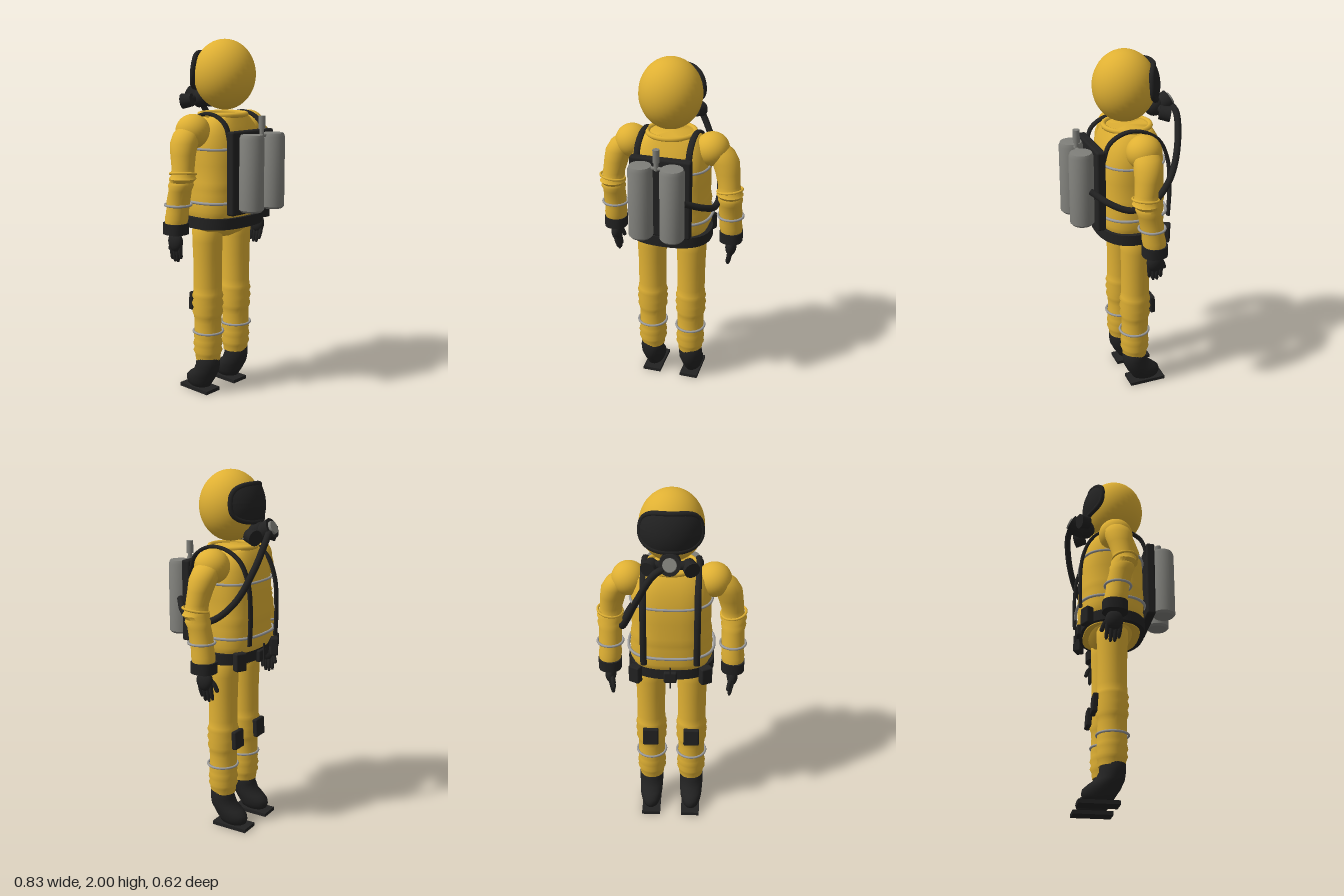
import * as THREE from 'three';
import { toCreasedNormals } from 'three/addons/utils/BufferGeometryUtils.js';
import { RoundedBoxGeometry } from 'three/addons/geometries/RoundedBoxGeometry.js';

const mat = (name, color) => Object.assign(new THREE.MeshStandardMaterial({ color }), { name });
const V = (x, y, z) => new THREE.Vector3(x, y, z);

// Closed body from horizontal sections [y, x, z, rx, rz], listed bottom to top
function loft(sections, power = 2, n = 28) {
  const pos = [], idx = [];
  const bend = (c) => Math.sign(c) * Math.abs(c) ** (2 / power);
  for (const [y, x, z, rx, rz = rx] of sections) {
    for (let i = 0; i < n; i++) {
      const t = (i / n) * Math.PI * 2;
      pos.push(x + rx * bend(Math.cos(t)), y, z + rz * bend(Math.sin(t)));
    }
  }
  const last = sections.length - 1;
  for (let j = 0; j < last; j++) {
    for (let i = 0; i < n; i++) {
      const k = (i + 1) % n, a = j * n + i, b = j * n + k;
      idx.push(a, a + n, b, b, a + n, b + n);
    }
  }
  const end = pos.length / 3;
  for (const s of [sections[0], sections[last]]) pos.push(s[1], s[0], s[2]);
  for (let i = 0; i < n; i++) {
    const k = (i + 1) % n;
    idx.push(end, i, k, end + 1, last * n + k, last * n + i);
  }
  const g = new THREE.BufferGeometry();
  g.setAttribute('position', new THREE.Float32BufferAttribute(pos, 3));
  g.setIndex(idx);
  return toCreasedNormals(g, 0.9);
}

// Tube through a list of points
const tube = (pts, r, sides = 10, closed = false, steps = 48) =>
  new THREE.TubeGeometry(new THREE.CatmullRomCurve3(pts, closed), steps, r, sides, closed);

// Horizontal band following a rounded outline
function band(y, x, z, rx, rz, r, power = 2) {
  const pts = [];
  for (let i = 0; i < 32; i++) {
    const t = (i / 32) * Math.PI * 2, c = Math.cos(t), s = Math.sin(t);
    pts.push(V(x + rx * Math.sign(c) * Math.abs(c) ** (2 / power), y, z + rz * Math.sign(s) * Math.abs(s) ** (2 / power)));
  }
  return tube(pts, r, 8, true, 64);
}

// Point of the visor outline, wrapped around the helmet
function visorPoint(r, t, scale) {
  const c = Math.cos(t), s = Math.sin(t);
  const az = 1.03 * r * Math.sign(c) * Math.abs(c) ** 0.7;
  const el = 0.12 + 0.5 * r * Math.sign(s) * Math.abs(s) ** 0.7;
  return V(0.17 * scale * Math.cos(el) * Math.sin(az), 1.81 + 0.19 * scale * Math.sin(el),
    -0.03 - 0.17 * scale * Math.cos(el) * Math.cos(az));
}

function visorGeometry() {
  const g = new THREE.PlaneGeometry(1, 1, 48, 8), p = g.attributes.position;
  for (let i = 0; i < p.count; i++) {
    const v = visorPoint(p.getY(i) + 0.5, (p.getX(i) + 0.5) * Math.PI * 2, 1.11);
    p.setXYZ(i, v.x, v.y, v.z);
  }
  g.computeVertexNormals();
  return g;
}

export function createModel() {
  const model = new THREE.Group();
  const yellow = mat('suit yellow', 0xdfb033);
  const black = mat('rubber black', 0x222222);
  black.side = THREE.DoubleSide;
  const grey = mat('tank grey', 0x7f7f7a);
  const silver = mat('band silver', 0x9c9c9c);

  const add = (name, geo, m, p = [0, 0, 0], r = [0, 0, 0], parent = model) => {
    const mesh = new THREE.Mesh(geo, m);
    mesh.name = name;
    mesh.position.set(...p);
    mesh.rotation.set(...r);
    parent.add(mesh);
    return mesh;
  };
  const ball = (name, m, p, s) => add(name, new THREE.SphereGeometry(1, 32, 24), m, p).scale.set(...s);

  // Hood, visor and collar
  ball('hood', yellow, [0, 1.81, -0.03], [0.17, 0.19, 0.17]);
  add('visor', visorGeometry(), black);
  const rim = [];
  for (let i = 0; i < 40; i++) rim.push(visorPoint(1, (i / 40) * Math.PI * 2, 1.07));
  add('visorRim', tube(rim, 0.014, 8, true, 80), black);
  add('collar', band(1.595, 0, -0.045, 0.13, 0.125, 0.014), yellow);

  // Torso with folds above the belt
  add('torso', loft([
    [0.98, 0, -0.045, 0.205, 0.155], [1.05, 0, -0.05, 0.21, 0.17], [1.08, 0, -0.05, 0.225, 0.183],
    [1.11, 0, -0.05, 0.216, 0.175], [1.14, 0, -0.05, 0.224, 0.183], [1.17, 0, -0.05, 0.216, 0.176],
    [1.2, 0, -0.05, 0.222, 0.183], [1.24, 0, -0.05, 0.214, 0.18], [1.33, 0, -0.05, 0.214, 0.18],
    [1.42, 0, -0.05, 0.215, 0.175], [1.49, 0, -0.05, 0.205, 0.16], [1.54, 0, -0.05, 0.185, 0.145],
    [1.575, 0, -0.048, 0.155, 0.128], [1.595, 0, -0.045, 0.125, 0.118],
  ], 2.7, 40), yellow);
  add('pelvis', loft([[0.915, 0, -0.05, 0.04, 0.05], [0.935, 0, -0.05, 0.13, 0.085],
    [0.965, 0, -0.05, 0.195, 0.11], [1.0, 0, -0.05, 0.205, 0.13]], 2.3), yellow);
  add('chestBand', band(1.42, 0, -0.05, 0.219, 0.179, 0.007, 2.7), silver);
  add('waistBand', band(1.13, 0, -0.05, 0.234, 0.193, 0.008, 2.7), silver);

  // Belt
  add('belt', loft([[0.985, 0, -0.04, 0.236, 0.18], [1.045, 0, -0.04, 0.236, 0.18]], 2.4, 40), black);
  add('buckle', new RoundedBoxGeometry(0.07, 0.065, 0.03, 2, 0.008), black, [0, 1.005, -0.225]);
  add('bucklePin', new THREE.BoxGeometry(0.008, 0.13, 0.008), black, [0, 1.01, -0.244]);

  // Breathing mask and hose
  add('maskCup', new THREE.CylinderGeometry(0.055, 0.048, 0.09, 20), black, [0, 1.685, -0.245], [-1.1, 0, 0]);
  add('maskCap', new THREE.CylinderGeometry(0.034, 0.038, 0.02, 20), grey, [0, 1.707, -0.288], [-1.1, 0, 0]);
  add('maskSeal', new THREE.SphereGeometry(0.055, 20, 14), black, [0, 1.68, -0.2]);
  add('hose', tube([V(0, 1.69, -0.27), V(0.07, 1.665, -0.295), V(0.165, 1.5, -0.27), V(0.23, 1.34, -0.2),
    V(0.265, 1.24, -0.09), V(0.265, 1.215, 0.03), V(0.225, 1.25, 0.13), V(0.14, 1.3, 0.21)], 0.018, 12), black);

  // Air tanks on the back plate
  add('backPlate', new RoundedBoxGeometry(0.335, 0.45, 0.05, 2, 0.012), black, [0, 1.295, 0.157]);
  const tankProfile = [[0, 1.095], [0.055, 1.095], [0.066, 1.107], [0.066, 1.485], [0.058, 1.505], [0, 1.51]]
    .map(([r, y]) => new THREE.Vector2(r, y));
  add('valve', new THREE.CylinderGeometry(0.019, 0.019, 0.07, 12), grey, [0, 1.565, 0.238]);
  add('valveFoot', new THREE.CylinderGeometry(0.012, 0.012, 0.05, 10), grey, [0, 1.51, 0.238]);
  add('manifold', new THREE.CylinderGeometry(0.01, 0.01, 0.17, 10), grey, [0, 1.495, 0.238], [0, 0, Math.PI / 2]);

  const strapPath = [[1.45, 0.14], [1.55, 0.105], [1.6, 0.02], [1.595, -0.08], [1.535, -0.175],
    [1.42, -0.226], [1.25, -0.241], [1.09, -0.236]].map(([y, z]) => V(0, y, z));
  const knees = [[0.6, 0.082], [0.58, 0.089], [0.56, 0.081], [0.535, 0.09], [0.51, 0.081], [0.485, 0.088], [0.46, 0.079]];

  for (const s of [1, -1]) {
    const side = s > 0 ? 'left' : 'right';
    add(side + 'Tank', toCreasedNormals(new THREE.LatheGeometry(tankProfile, 28), 0.7), grey, [s * 0.086, 0, 0.242]);
    add(side + 'Strap', tube(strapPath, 0.01, 8), black, [s * 0.142, 0, 0]).scale.x = 1.75;
    add(side + 'Filter', new THREE.CylinderGeometry(0.036, 0.042, 0.06, 18), black, [s * 0.1, 1.665, -0.222], [1.4, 0, s * 0.4]);
    add(side + 'FilterArm', new THREE.CylinderGeometry(0.022, 0.022, 0.1, 12), black, [s * 0.06, 1.675, -0.22], [0, 0, Math.PI / 2]);
    add(side + 'Pouch', new RoundedBoxGeometry(0.065, 0.1, 0.045, 2, 0.008), black, [s * 0.19, 1.01, -0.205], [0, s * -0.5, 0]);

    // Arm
    ball(side + 'Shoulder', yellow, [s * 0.225, 1.515, -0.055], [0.093, 0.092, 0.095]);
    add(side + 'Arm', loft([
      [1.02, 0.34, -0.075, 0.06], [1.06, 0.338, -0.07, 0.064], [1.09, 0.336, -0.066, 0.061], [1.15, 0.336, -0.058, 0.064],
      [1.21, 0.335, -0.045, 0.062], [1.24, 0.336, -0.037, 0.069], [1.255, 0.335, -0.035, 0.063],
      [1.275, 0.335, -0.025, 0.073], [1.29, 0.333, -0.026, 0.064], [1.33, 0.328, -0.028, 0.061],
      [1.4, 0.315, -0.04, 0.068], [1.46, 0.298, -0.048, 0.076], [1.51, 0.275, -0.053, 0.07], [1.55, 0.25, -0.055, 0.045],
    ].map(([y, x, z, r]) => [y, s * x, z, r])), yellow);
    add(side + 'ElbowFold', new THREE.TorusGeometry(0.068, 0.007, 8, 32), yellow, [s * 0.335, 1.3, -0.022], [Math.PI / 2 - 0.12, s * 0.15, 0]);
    add(side + 'ArmBand', band(1.13, s * 0.336, -0.06, 0.07, 0.07, 0.007), silver);

    // Glove
    add(side + 'GloveCuff', loft([[0.97, s * 0.34, -0.076, 0.064, 0.068], [1.03, s * 0.34, -0.076, 0.064, 0.068]], 2.4), black);
    ball(side + 'Palm', black, [s * 0.34, 0.925, -0.08], [0.031, 0.055, 0.048]);
    for (let i = 0; i < 4; i++) {
      const z = -0.048 - i * 0.022, low = [0.83, 0.81, 0.808, 0.82][i];
      add(side + 'Finger', loft([[low, s * 0.326, z - 0.006, 0.006], [low + 0.01, s * 0.327, z - 0.005, 0.01],
        [0.87, s * 0.334, z - 0.002, 0.012], [0.91, s * 0.34, z, 0.013]], 2, 10), black);
    }
    add(side + 'Thumb', tube([V(s * 0.335, 0.94, -0.1), V(s * 0.325, 0.91, -0.128), V(s * 0.318, 0.875, -0.142)], 0.012, 8, false, 10), black);
    add(side + 'ThumbTip', new THREE.SphereGeometry(0.012, 10, 8), black, [s * 0.318, 0.875, -0.142]);

    // Leg with folds at knee and ankle
    add(side + 'Leg', loft([
      [0.2, 0.07], [0.235, 0.074], [0.255, 0.083], [0.275, 0.076], [0.295, 0.084], [0.32, 0.078], [0.34, 0.08],
      [0.38, 0.077], [0.43, 0.077], ...knees.reverse().map((k) => [...k]), [0.64, 0.08], [0.8, 0.081], [0.9, 0.085], [0.96, 0.086], [0.99, 0.075],
    ].map(([y, r]) => [y, s * 0.117, -0.055, r])), yellow);
    knees.reverse();
    add(side + 'LegBand', band(0.37, s * 0.117, -0.052, 0.084, 0.084, 0.007), silver);
    add(side + 'KneePad', new RoundedBoxGeometry(0.09, 0.105, 0.03, 2, 0.008), black, [s * 0.117, 0.535, -0.15], [0.06, 0, 0]);

    // Boot
    add(side + 'Boot', loft([
      [0.018, 0, -0.13, 0.035, 0.055], [0.03, 0, -0.125, 0.048, 0.078], [0.055, 0, -0.122, 0.058, 0.09],
      [0.08, 0, -0.11, 0.064, 0.096], [0.105, 0, -0.09, 0.067, 0.088], [0.13, 0, -0.066, 0.069, 0.076],
      [0.17, 0, -0.053, 0.07, 0.069], [0.215, 0, -0.051, 0.068, 0.067], [0.226, 0, -0.051, 0.06, 0.06],
    ].map(([y, x, ...rest]) => [y, s * 0.12, ...rest])), black);
    add(side + 'Sole', new THREE.BoxGeometry(0.108, 0.02, 0.215), black, [s * 0.117, 0.01, -0.124]);
  }
  return model;
}
